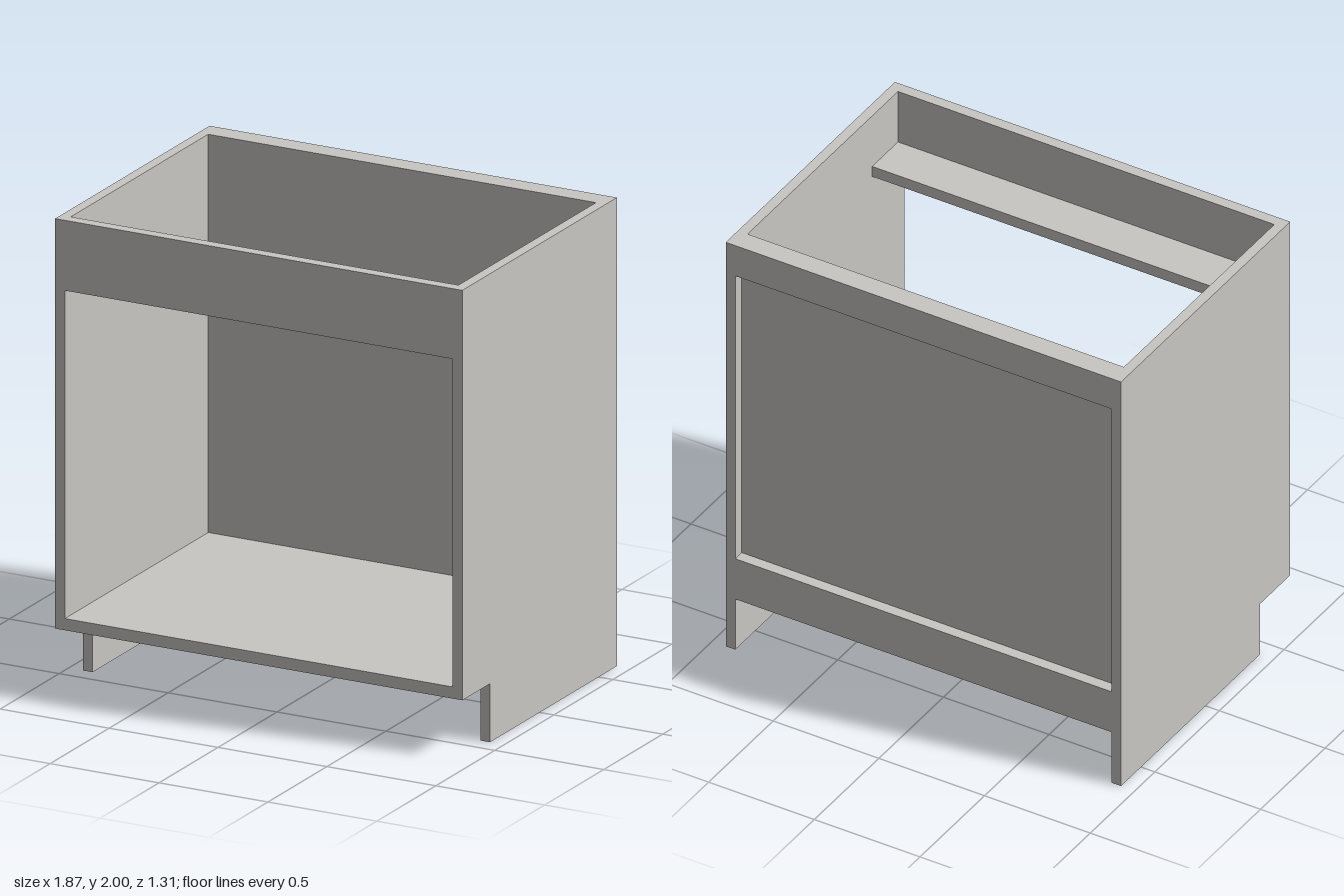
import * as THREE from 'three';

// Open-topped base cabinet carcass with toe-kick notches
export function createModel() {
  const group = new THREE.Group();
  group.name = 'baseCabinet';
  const paint = new THREE.MeshStandardMaterial({ color: 0xc8c6c3 });
  paint.name = 'pale grey board';

  const W = 0.935, D = 0.655, H = 2, T = 0.045; // half width, half depth, height, side thickness
  const inner = W - T;

  const add = (name, geometry) => {
    const mesh = new THREE.Mesh(geometry, paint);
    mesh.name = name;
    group.add(mesh);
    return mesh;
  };

  // Board spanning between the side panels
  const board = (name, y0, y1, z0, z1) =>
    add(name, new THREE.BoxGeometry(inner * 2, y1 - y0, z1 - z0))
      .position.set(0, (y0 + y1) / 2, (z0 + z1) / 2);

  // Side panels: profile in (-z, y), notched at the lower front
  const profile = new THREE.Shape([
    [D, 0], [D, H], [-D, H], [-D, 0.25], [-0.42, 0.25], [-0.42, 0],
  ].map(([x, y]) => new THREE.Vector2(x, y)));
  const side = new THREE.ExtrudeGeometry(profile, { depth: T, bevelEnabled: false });
  side.rotateY(Math.PI / 2);
  add('leftSidePanel', side).position.x = inner;
  add('rightSidePanel', side).position.x = -W;

  // Floor, front rail and the flat stretcher behind it
  board('floorPanel', 0.25, 0.3, -D, D);
  board('frontRail', 1.7, H, 0.605, D);
  board('frontStretcher', 1.7, 1.75, 0.405, 0.605);

  // Recessed back panel with rails on its outer face
  board('backPanel', 0.3, H, -0.605, -0.56);
  board('upperBackRail', 1.85, H, -D, -0.605);
  board('lowerBackRail', 0.3, 0.45, -D, -0.605);

  return group;
}
